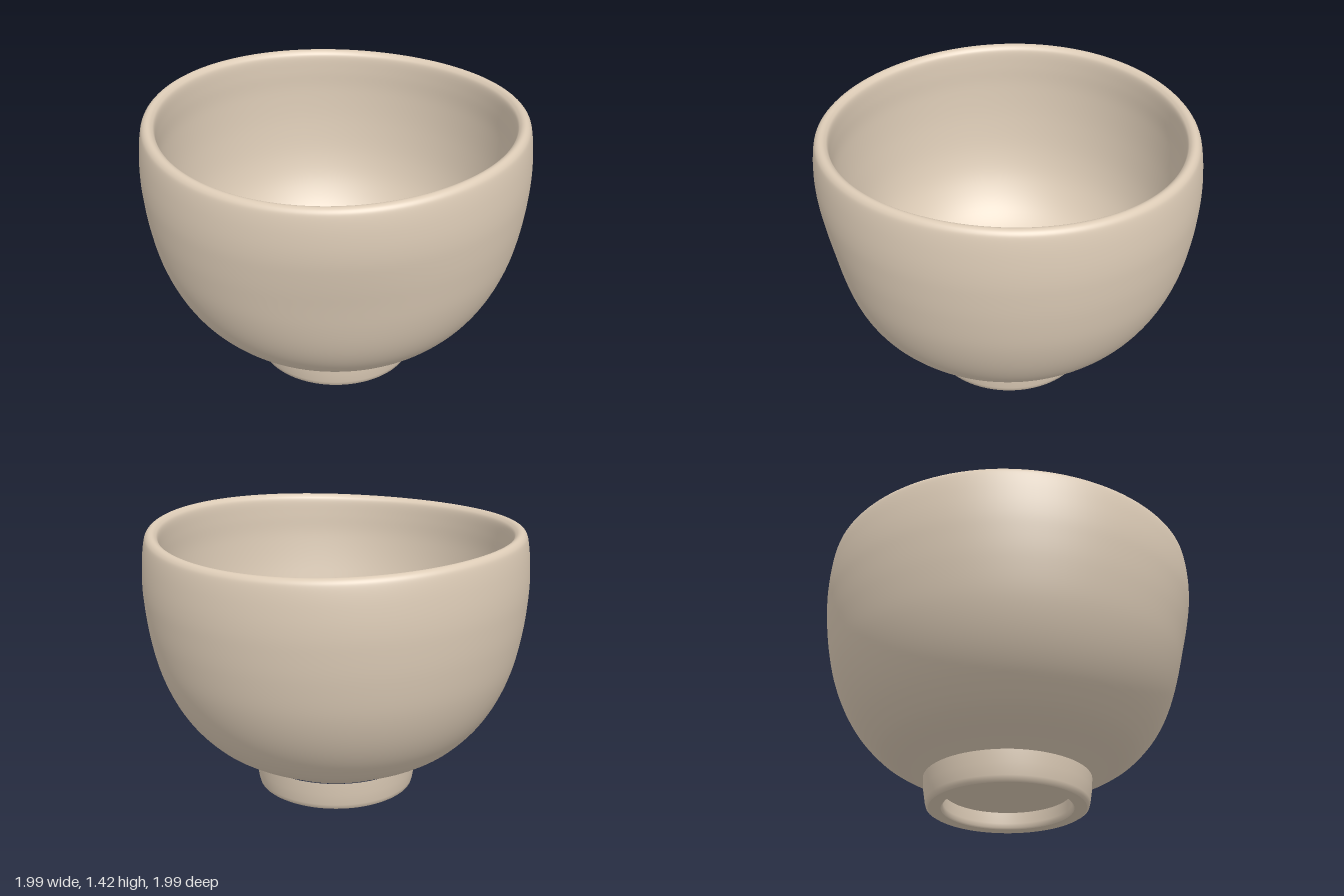
import * as THREE from 'three';
import { mergeVertices } from 'three/addons/utils/BufferGeometryUtils.js';

const clay = new THREE.MeshStandardMaterial({ color: 0xdccbb6 });

// Hand-made irregularity: a wavy rim, a slightly oval wall and one soft thumb dent.
function shapeByHand(geometry) {
  const p = geometry.attributes.position;
  for (let i = 0; i < p.count; i++) {
    const x = p.getX(i), y = p.getY(i), z = p.getZ(i);
    const r = Math.hypot(x, z), a = Math.atan2(z, x);
    const lift = Math.max(0, (y - 0.3) / 1.1);
    const da = (a - Math.PI / 4) / 0.42, dy = (y - 0.78) / 0.24;
    const dent = 0.042 * Math.exp(-0.5 * (da * da + dy * dy)) * Math.min(1, r / 0.6);
    const k = r > 0 ? (r - dent - 0.006 * lift * Math.sin(2 * a)) / r : 1;
    p.setXYZ(i, x * k + 0.003 * lift, y + 0.017 * lift * lift * Math.cos(2 * a + 0.6), z * k);
  }
}

// Lathe a profile and weld its seam so the normals stay smooth.
function turned(name, points, deform) {
  let g = new THREE.LatheGeometry(points, 128);
  g.deleteAttribute('uv');
  g.deleteAttribute('normal');
  g = mergeVertices(g, 1e-4);
  if (deform) deform(g);
  g.computeVertexNormals();
  const mesh = new THREE.Mesh(g, clay);
  mesh.name = name;
  return mesh;
}

const vec = (list) => list.map(([x, y]) => new THREE.Vector2(x, y));

export function createModel() {
  const group = new THREE.Group();
  group.name = 'teaBowl';

  // Bowl: outer wall up, over the rounded lip, down the inner wall to the floor
  const wall = new THREE.SplineCurve(vec([
    [0.42, 0.15], [0.51, 0.198], [0.61, 0.25], [0.70, 0.315], [0.80, 0.425], [0.88, 0.56],
    [0.94, 0.72], [0.977, 0.9], [0.994, 1.06], [0.997, 1.17], [0.99, 1.28], [0.978, 1.36],
    [0.965, 1.39], [0.943, 1.402], [0.92, 1.393], [0.905, 1.365],
    [0.902, 1.28], [0.903, 1.15], [0.89, 0.95], [0.858, 0.75], [0.80, 0.585],
    [0.70, 0.435], [0.56, 0.328], [0.38, 0.265], [0.2, 0.242], [0, 0.235],
  ]));
  group.add(turned('bowl', wall.getPoints(150), shapeByHand));

  // Foot ring: recessed base, then each crisp section turned separately
  const foot = new THREE.Group();
  foot.name = 'foot';
  foot.position.set(-0.004, 0, -0.006);
  foot.add(
    turned('footRecess', vec([[0, 0.09], [0.33, 0.09]])),
    turned('footInnerWall', vec([[0.33, 0.09], [0.33, 0.03], [0.333, 0.008], [0.341, 0]])),
    turned('footBottom', vec([[0.341, 0], [0.405, 0]])),
    turned('footOuterWall', vec([[0.405, 0], [0.417, 0.008], [0.423, 0.03], [0.432, 0.09], [0.436, 0.158]])),
  );
  group.add(foot);
  return group;
}
